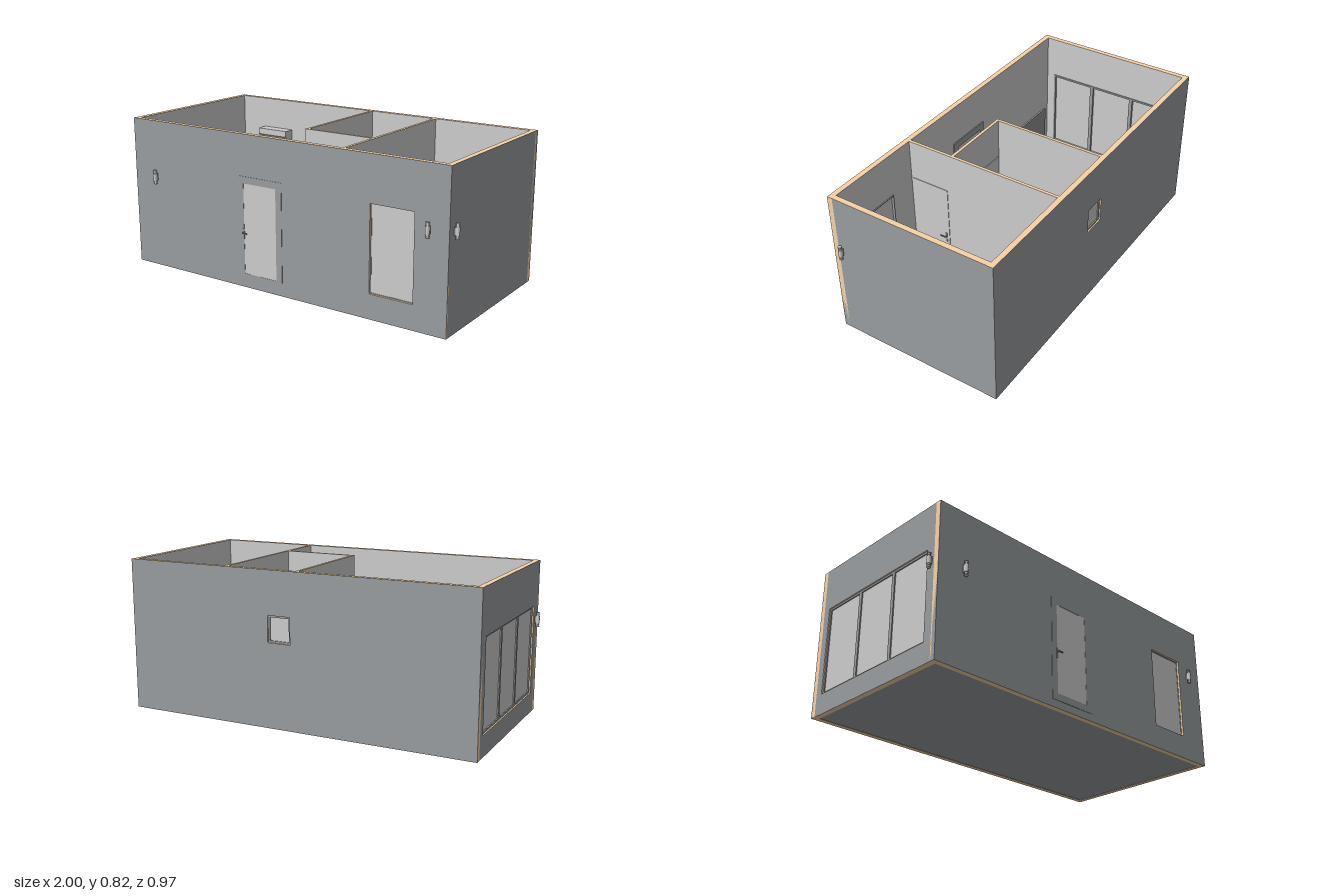
import * as THREE from 'three';
import { RoundedBoxGeometry } from 'three/addons/geometries/RoundedBoxGeometry.js';

const mat = (color) => new THREE.MeshStandardMaterial({ color });
const GREY = mat(0xcccccc), CLAD = mat(0x989c9f), TIMBER = mat(0xf7d3a3), FLOOR = mat(0xe1ceb3), DARK = mat(0x8f8f8f);
const H = 0.82, FL = 0.04;

function add(parent, name, geo, m = GREY, x = 0, y = 0, z = 0) {
  const mesh = new THREE.Mesh(geo, m);
  mesh.name = name;
  mesh.position.set(x, y, z);
  parent.add(mesh);
  return mesh;
}

// Box given by its limits; r rounds the edges
function box(parent, name, [x0, x1], [y0, y1], [z0, z1], m = GREY, r = 0) {
  const s = [x1 - x0, y1 - y0, z1 - z0];
  const geo = r ? new RoundedBoxGeometry(...s, 3, r) : new THREE.BoxGeometry(...s);
  return add(parent, name, geo, m, (x0 + x1) / 2, (y0 + y1) / 2, (z0 + z1) / 2);
}

function group(parent, name) {
  const g = new THREE.Group();
  g.name = name;
  parent.add(g);
  return g;
}

function rect(u0, u1, v0, v1, Type = THREE.Shape) {
  const s = new Type();
  s.moveTo(u0, v0);
  s.lineTo(u1, v0);
  s.lineTo(u1, v1);
  s.lineTo(u0, v1);
  s.closePath();
  return s;
}

// Wall facing local +z: timber core with grey lining, cladding outside, framed openings
function wall(parent, name, angle, dist, [u0, u1], inset, openings = []) {
  const g = group(parent, name);
  g.rotation.y = angle;
  g.position.set(Math.sin(angle) * dist, 0, Math.cos(angle) * dist);
  const core = rect(u0 + inset, u1 - inset, 0, H), skin = rect(u0, u1, 0, H);
  for (const o of openings) {
    core.holes.push(rect(...o.at, THREE.Path));
    skin.holes.push(rect(...o.at, THREE.Path));
  }
  add(g, 'wallCore', new THREE.ExtrudeGeometry(core, { depth: 0.029, bevelEnabled: false }), [GREY, TIMBER], 0, 0, -0.03);
  add(g, 'cladding', new THREE.ShapeGeometry(skin), CLAD);
  for (const o of openings) {
    const [a, b, c, d] = o.at, f = o.frame, n = o.panes || 1, w = (b - a) / n;
    for (let i = 0; i < n; i++) {
      const s = rect(a + w * i, a + w * (i + 1), c, d);
      s.holes.push(rect(a + w * i + f, a + w * (i + 1) - f, c + f, d - f, THREE.Path));
      const depth = o.front + 0.036;
      add(g, 'frame', new THREE.ExtrudeGeometry(s, { depth, bevelEnabled: false }), CLAD, 0, 0, -0.036);
      box(g, 'pane', [a + w * i + f, a + w * (i + 1) - f], [c + f, d - f], [-0.022, o.pane]);
    }
  }
  return g;
}

// Lever handle on a plate, facing local +z
function handle(parent, x, y, z, angle, dir = 1) {
  const g = group(parent, 'doorHandle');
  g.position.set(x, y, z);
  g.rotation.y = angle;
  box(g, 'handlePlate', [-0.005, 0.005], [-0.035, 0.02], [0, 0.003], DARK);
  box(g, 'handleStem', [-0.003, 0.003], [-0.003, 0.003], [0, 0.014], DARK);
  box(g, 'handleLever', [Math.min(0, dir * 0.03), Math.max(0, dir * 0.03)], [-0.003, 0.003], [0.011, 0.015], DARK);
}

function wallLamp(parent, x, z, angle) {
  const g = group(parent, 'wallLamp');
  g.position.set(x, 0.51, z);
  g.rotation.y = angle;
  box(g, 'lampBracket', [-0.008, 0.008], [-0.02, 0.02], [0, 0.012], DARK);
  const disc = (r, h, y) => add(g, 'lampPart', new THREE.CylinderGeometry(r, r, h, 20), GREY, 0, y, 0.014);
  disc(0.011, 0.04, 0);
  disc(0.007, 0.074, 0);
  for (const y of [-0.037, -0.028, 0.028, 0.037]) disc(0.01, 0.003, y);
}

function lathe(parent, name, pts, x, y, z, sx = 1) {
  const geo = new THREE.LatheGeometry(pts.map((p) => new THREE.Vector2(...p)), 32);
  const m = add(parent, name, geo, new THREE.MeshStandardMaterial({ color: 0xcccccc, side: THREE.DoubleSide }), x, y, z);
  m.scale.x = sx;
}

// Floor-plan shape (x, z) extruded between two heights
function plan(parent, name, shape, y0, y1) {
  const geo = new THREE.ExtrudeGeometry(shape, { depth: y1 - y0, bevelEnabled: false, curveSegments: 24 });
  add(parent, name, geo, GREY, 0, y1, 0).rotation.x = Math.PI / 2;
}

function buildShell(root) {
  const g = group(root, 'shell');
  wall(g, 'frontWall', 0, 0.46, [-0.975, 0.975], 0, [
    { at: [-0.245, 0.035, FL, 0.6], frame: 0.037, front: 0.002, pane: 0.001 },
    { at: [0.555, 0.795, 0.13, 0.58], frame: 0.004, front: -0.012, pane: -0.014 },
  ]);
  wall(g, 'backWall', Math.PI, 0.48, [-0.975, 0.975], 0,
    [{ at: [-0.14, -0.012, 0.45, 0.59], frame: 0.01, front: -0.008, pane: -0.014 }]);
  wall(g, 'rightWall', -Math.PI / 2, 0.975, [-0.48, 0.46], 0.03,
    [{ at: [-0.41, 0.38, 0.11, 0.585], frame: 0.01, front: -0.008, pane: -0.014, panes: 3 }]);
  wall(g, 'leftWall', Math.PI / 2, 0.975, [-0.46, 0.48], 0.03);
  box(g, 'baseSlab', [-0.945, 0.945], [0.002, 0.02], [-0.45, 0.43], CLAD);
  box(g, 'floor', [-0.945, 0.945], [0.02, FL], [-0.45, 0.43], FLOOR);
  handle(g, -0.21, 0.3, 0.462, 0);
  // Inner partitions with timber top edges
  const faces = [GREY, GREY, TIMBER, GREY, GREY, GREY];
  box(g, 'bathroomSideWall', [-0.024, -0.008], [FL, H], [-0.45, 0.175], faces);
  box(g, 'bathroomFrontWall', [-0.008, 0.382], [FL, H], [0.159, 0.175], faces);
  box(g, 'bedroomWall', [0.382, 0.398], [FL, H], [-0.45, 0.43], faces);
  box(g, 'bathroomDoor', [-0.0, 0.21], [FL, 0.6], [0.156, 0.178]);
  box(g, 'bedroomDoor', [0.379, 0.401], [FL, 0.6], [0.2, 0.42]);
  handle(g, 0.185, 0.3, 0.178, 0, -1);
  handle(g, 0.185, 0.3, 0.156, Math.PI);
  handle(g, 0.401, 0.3, 0.22, Math.PI / 2, -1);
  handle(g, 0.379, 0.3, 0.22, -Math.PI / 2);
  wallLamp(g, -0.82, 0.46, 0);
  wallLamp(g, 0.87, 0.46, 0);
  for (const s of [-1, 1]) wallLamp(g, s * 0.975, 0.409, s * Math.PI / 2);
}

function buildLiving(root) {
  const sofa = group(root, 'sofa');
  box(sofa, 'sofaBase', [-0.89, -0.475], [FL + 0.015, 0.11], [-0.445, -0.205]);
  box(sofa, 'sofaBack', [-0.89, -0.475], [0.1, 0.27], [-0.445, -0.38], GREY, 0.015);
  for (const x of [-0.92, -0.475]) box(sofa, 'sofaArm', [x, x + 0.03], [FL, 0.2], [-0.445, -0.21], GREY, 0.008);
  for (const x of [-0.888, -0.681]) {
    box(sofa, 'seatCushion', [x, x + 0.204], [0.11, 0.155], [-0.36, -0.2], GREY, 0.012);
    box(sofa, 'backCushion', [x, x + 0.204], [0.15, 0.26], [-0.4, -0.355], GREY, 0.015);
  }
  const table = group(root, 'coffeeTable');
  box(table, 'tableTop', [-0.84, -0.527], [0.145, 0.16], [-0.115, 0.083]);
  for (const x of [-0.83, -0.552]) for (const z of [-0.105, 0.058]) box(table, 'tableLeg', [x, x + 0.015], [FL, 0.145], [z, z + 0.015]);
  const tv = group(root, 'mediaUnit');
  box(tv, 'mediaCabinet', [-0.87, -0.5], [FL, 0.17], [0.29, 0.425], DARK);
  box(tv, 'screenFoot', [-0.745, -0.625], [0.17, 0.176], [0.37, 0.41]);
  box(tv, 'screenNeck', [-0.7, -0.67], [0.176, 0.21], [0.39, 0.4]);
  box(tv, 'screen', [-0.85, -0.515], [0.2, 0.39], [0.385, 0.396], DARK);
  // Air conditioner with a sloped underside
  const s = new THREE.Shape([[0, 0], [0.04, 0.005], [0.065, 0.03], [0.065, 0.065], [0, 0.065]].map((p) => new THREE.Vector2(...p)));
  const ac = add(root, 'airConditioner', new THREE.ExtrudeGeometry(s, { depth: 0.205, bevelEnabled: false }), GREY, -0.58, 0.58, -0.45);
  ac.rotation.y = -Math.PI / 2;
}

function buildKitchen(root) {
  const g = group(root, 'kitchen');
  box(g, 'baseCabinets', [-0.18, -0.024], [FL, 0.3], [-0.45, 0.02]);
  box(g, 'countertop', [-0.187, -0.024], [0.3, 0.315], [-0.45, 0.02], DARK);
  box(g, 'wallCabinets', [-0.115, -0.024], [0.45, 0.63], [-0.45, 0.02]);
  box(g, 'refrigerator', [-0.187, -0.026], [FL, 0.63], [0.02, 0.174], CLAD);
  for (let i = 0; i < 4; i++) {
    const z = -0.45 + i * 0.1175;
    box(g, 'cabinetDoor', [-0.184, -0.18], [0.06, 0.295], [z + 0.004, z + 0.1135]);
    box(g, 'cabinetHandle', [-0.19, -0.184], [0.26, 0.265], [z + 0.035, z + 0.083], DARK);
    box(g, 'wallCabinetDoor', [-0.118, -0.115], [0.455, 0.625], [z + 0.004, z + 0.1135]);
  }
  box(g, 'refrigeratorHandle', [-0.194, -0.187], [0.3, 0.45], [0.03, 0.036], DARK);
}

function buildBathroom(root) {
  const g = group(root, 'bathroom');
  // Quarter-round shower tray and curved screen
  const tray = new THREE.Shape().moveTo(0.382, -0.45).lineTo(0.147, -0.45).lineTo(0.147, -0.41);
  tray.absarc(0.332, -0.41, 0.185, Math.PI, Math.PI / 2, true).lineTo(0.382, -0.225);
  plan(g, 'showerTray', tray, FL, FL + 0.025);
  const glass = new THREE.Shape().moveTo(0.165, -0.45).lineTo(0.157, -0.45).lineTo(0.157, -0.41);
  glass.absarc(0.332, -0.41, 0.175, Math.PI, Math.PI / 2, true).lineTo(0.382, -0.235).lineTo(0.382, -0.243).lineTo(0.332, -0.243);
  glass.absarc(0.332, -0.41, 0.167, Math.PI / 2, Math.PI, false);
  plan(g, 'showerScreen', glass, FL + 0.025, 0.58);
  // Toilet
  lathe(g, 'toiletBowl', [[0, 0], [0.03, 0], [0.028, 0.04], [0.048, 0.1], [0.05, 0.12], [0.045, 0.128], [0, 0.13]], 0.262, FL, -0.123, 1.35);
  box(g, 'toiletTank', [0.328, 0.382], [0.12, 0.27], [-0.178, -0.067], GREY, 0.008);
  box(g, 'toiletFoot', [0.26, 0.36], [FL, 0.14], [-0.15, -0.096]);
  // Washbasin
  lathe(g, 'washbasin', [[0, 0], [0.03, 0.005], [0.05, 0.04], [0.055, 0.05], [0.045, 0.05], [0.03, 0.02], [0, 0.012]], 0.335, 0.25, 0.035);
  add(g, 'basinPedestal', new THREE.CylinderGeometry(0.018, 0.024, 0.21, 20), GREY, 0.345, FL + 0.105, 0.035);
  box(g, 'basinBack', [0.36, 0.382], [0.265, 0.3], [-0.015, 0.085]);
  const spout = new THREE.CatmullRomCurve3([[0.37, 0.3, 0.035], [0.368, 0.33, 0.035], [0.345, 0.335, 0.035], [0.34, 0.32, 0.035]].map((p) => new THREE.Vector3(...p)));
  add(g, 'faucet', new THREE.TubeGeometry(spout, 12, 0.004, 8), DARK);
}

function buildBedroom(root) {
  const bed = group(root, 'bed');
  box(bed, 'bedFrame', [0.527, 0.943], [0.06, 0.12], [-0.445, 0.072]);
  box(bed, 'headboard', [0.54, 0.943], [FL, 0.33], [-0.45, -0.405]);
  box(bed, 'mattress', [0.56, 0.912], [0.12, 0.18], [-0.405, 0.047], GREY, 0.015);
  for (const x of [0.535, 0.92]) for (const z of [-0.4, 0.05]) box(bed, 'bedLeg', [x, x + 0.015], [FL, 0.06], [z, z + 0.015]);
  for (const x of [0.58, 0.746]) box(bed, 'pillow', [x, x + 0.15], [0.172, 0.21], [-0.4, -0.277], GREY, 0.016);
  const w = group(root, 'wardrobe');
  box(w, 'wardrobeBody', [0.82, 0.944], [FL, 0.6], [0.083, 0.425]);
  for (const z of [0.085, 0.256]) box(w, 'wardrobeDoor', [0.815, 0.82], [FL + 0.01, 0.596], [z, z + 0.167]);
  for (const z of [0.23, 0.27]) box(w, 'wardrobeHandle', [0.806, 0.815], [0.28, 0.36], [z, z + 0.006], DARK);
}

export function createModel() {
  const root = new THREE.Group();
  root.name = 'smallHouse';
  for (const build of [buildShell, buildLiving, buildKitchen, buildBathroom, buildBedroom]) build(root);
  return root;
}
